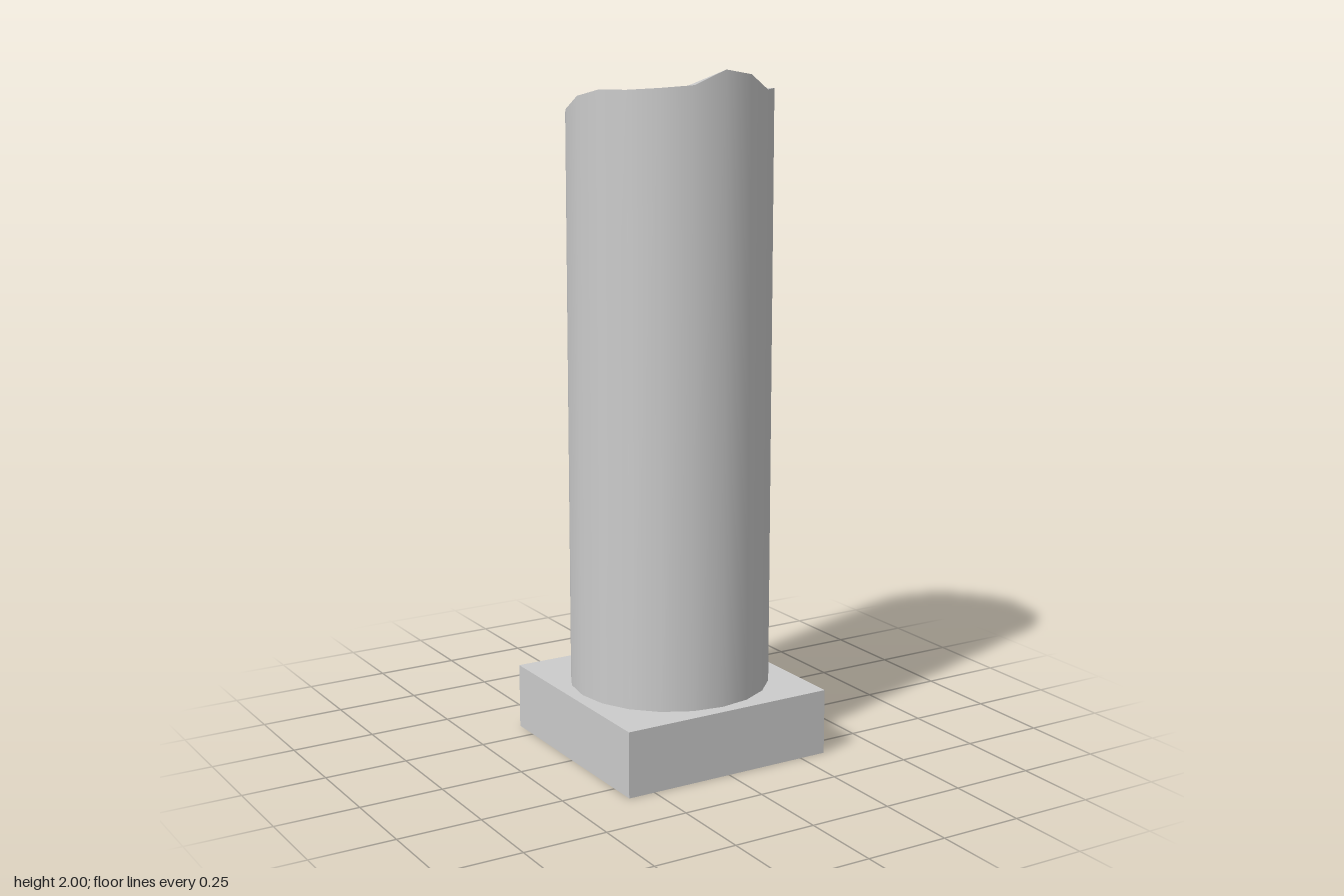
import * as THREE from 'three';

const SIDES = 20, RADIUS = 0.296, BASE_H = 0.195;
// Height of the broken rim, from the front (+z) round through +x, back and -x
const RIM = [2.0, 1.985, 1.94, 1.94, 1.907, 1.91, 1.89, 1.875, 1.88, 1.867,
  1.85, 1.853, 1.848, 1.87, 1.885, 1.925, 1.945, 1.947, 1.953, 1.96];
const CENTRE_Y = 1.923;

export function createModel() {
  const group = new THREE.Group();
  const material = new THREE.MeshStandardMaterial({ color: 0xcccccc });
  const add = (name, geometry) => {
    const mesh = new THREE.Mesh(geometry, material);
    mesh.name = name;
    group.add(mesh);
    return mesh;
  };

  // Square plinth
  add('plinth', new THREE.BoxGeometry(0.665, BASE_H, 0.665)).position.y = BASE_H / 2;

  // Shaft: smooth open cylinder with its top ring raised to the broken rim
  const shaft = new THREE.CylinderGeometry(RADIUS, RADIUS, 1, SIDES, 1, true);
  const sp = shaft.attributes.position;
  for (let i = 0; i <= SIDES; i++) {
    sp.setY(i, RIM[i % SIDES]);
    sp.setY(i + SIDES + 1, BASE_H);
  }
  add('shaft', shaft);

  // Broken top: a fan from the centre to the same rim
  const top = new THREE.CircleGeometry(RADIUS, SIDES);
  top.rotateX(-Math.PI / 2).rotateY(-Math.PI / 2);
  const tp = top.attributes.position;
  tp.setY(0, CENTRE_Y);
  for (let i = 0; i <= SIDES; i++) tp.setY(i + 1, RIM[i % SIDES]);
  top.computeVertexNormals();
  add('brokenTop', top);

  return group;
}
